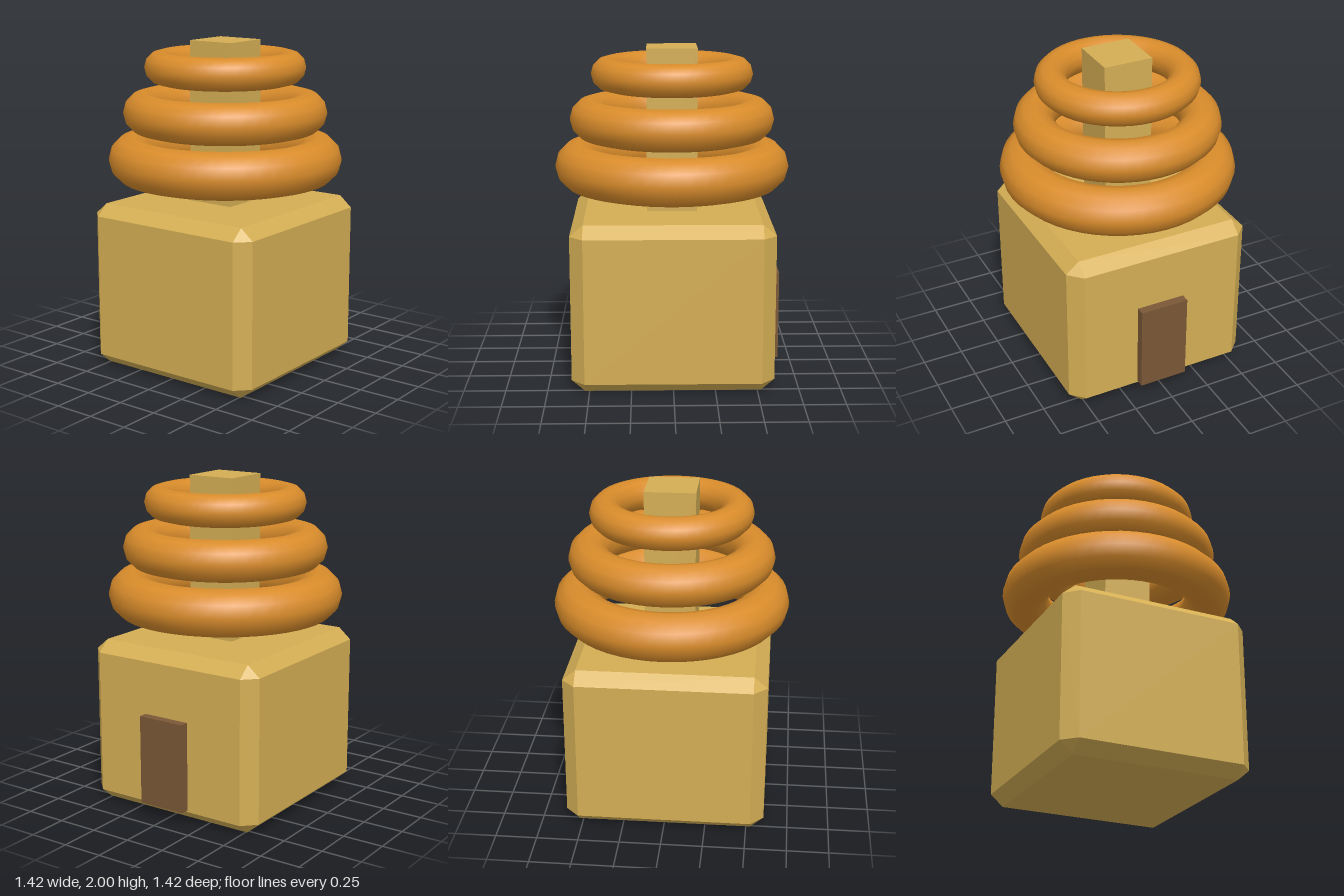
import * as THREE from 'three';
import { ConvexGeometry } from 'three/addons/geometries/ConvexGeometry.js';

// Box with bevelled edges and corners: each corner is cut into three points
function chamferedBox(hx, hy, hz, cx, cy, cz) {
  const points = [];
  for (const sx of [-1, 1]) for (const sy of [-1, 1]) for (const sz of [-1, 1]) {
    points.push(
      new THREE.Vector3(sx * hx, sy * (hy - cy), sz * (hz - cz)),
      new THREE.Vector3(sx * (hx - cx), sy * hy, sz * (hz - cz)),
      new THREE.Vector3(sx * (hx - cx), sy * (hy - cy), sz * hz)
    );
  }
  return new ConvexGeometry(points);
}

export function createModel() {
  const model = new THREE.Group();
  model.name = 'ringTower';

  const sand = new THREE.MeshStandardMaterial({ color: 0xd4ae54, flatShading: true });
  const orange = new THREE.MeshStandardMaterial({ color: 0xd98c2b });
  const brown = new THREE.MeshStandardMaterial({ color: 0x7a5836, flatShading: true });

  function add(name, geometry, material, x, y, z) {
    const mesh = new THREE.Mesh(geometry, material);
    mesh.name = name;
    mesh.position.set(x, y, z);
    model.add(mesh);
    return mesh;
  }

  // Bevelled house block
  add('base', chamferedBox(0.604, 0.508, 0.589, 0.08, 0.068, 0.08), sand, -0.002, 0.509, 0);

  // Square post rising out of the block
  add('post', new THREE.BoxGeometry(0.304, 1.05, 0.304), sand, -0.002, 1.475, 0.003);

  // Door slab on the left side
  add('door', new THREE.BoxGeometry(0.1, 0.546, 0.304), brown, 0.606, 0.352, 0.012);

  // Three floating rings, shrinking upwards; tube is a quarter of the ring radius
  const rings = [['lowerRing', 0.57, 1.28], ['middleRing', 0.496, 1.565], ['upperRing', 0.391, 1.837]];
  for (const [name, radius, y] of rings) {
    const geometry = new THREE.TorusGeometry(radius, radius / 4, 12, 48);
    geometry.rotateX(-Math.PI / 2);
    add(name, geometry, orange, 0, y, 0);
  }

  return model;
}
